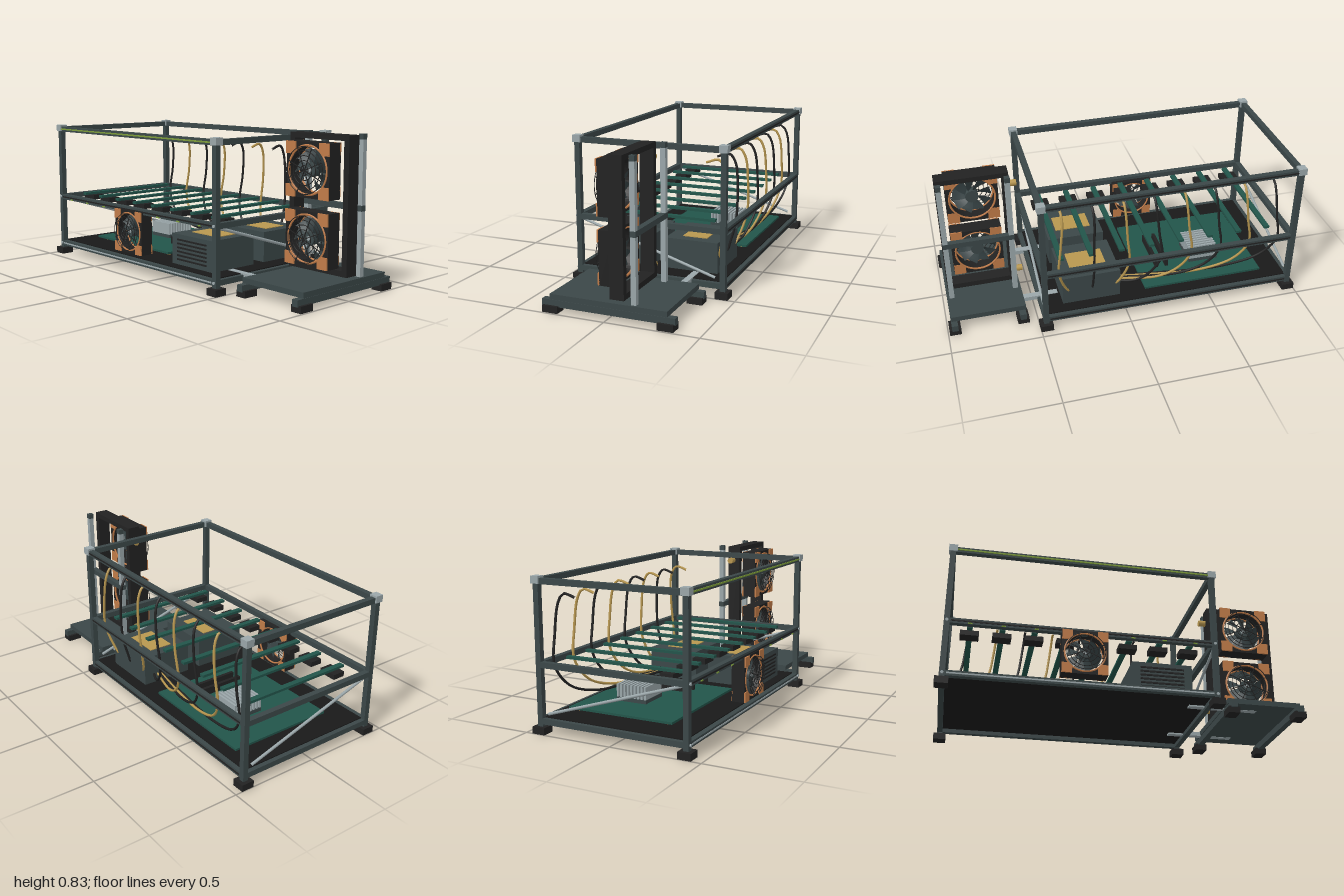
import * as THREE from 'three';

const mat = (name, color, double) => {
  const m = new THREE.MeshStandardMaterial({ color });
  m.name = name;
  if (double) m.side = THREE.DoubleSide;
  return m;
};

export function createModel() {
  const root = new THREE.Group();
  root.name = 'openFrameRig';
  const steel = mat('darkSteel', 0x3b4748);
  const black = mat('blackPlastic', 0x222222);
  const base = mat('basePlateBlack', 0x191919);
  const silver = mat('aluminium', 0x9aa6a9);
  const teal = mat('boardGreen', 0x22544a);
  const copper = mat('copper', 0xc07b48);
  const gold = mat('brass', 0xb8974f);
  const lime = mat('limeStrip', 0x7d9c3a);
  const blade = mat('fanBlade', 0x354143, true);

  const add = (name, geo, m, x = 0, y = 0, z = 0, parent = root) => {
    const mesh = new THREE.Mesh(geo, m);
    mesh.name = name;
    mesh.position.set(x, y, z);
    parent.add(mesh);
    return mesh;
  };
  // Box given by its limits on each axis
  const box = (name, m, [x0, x1], [y0, y1], [z0, z1], parent = root) =>
    add(name, new THREE.BoxGeometry(x1 - x0, y1 - y0, z1 - z0), m,
      (x0 + x1) / 2, (y0 + y1) / 2, (z0 + z1) / 2, parent);
  const around = (c, w) => [c - w / 2, c + w / 2];

  // Main frame: posts, feet, corner blocks and three levels of rails
  const X = [-0.965, 0.467], Z = [-0.425, 0.41], T = 0.03;
  const levels = [0.065, 0.36, 0.785];
  for (const x of X) {
    for (const z of Z) {
      box('framePost', steel, around(x, T), [0.03, 0.79], around(z, T));
      box('frameFoot', black, around(x, 0.07), [0, 0.037], around(z, 0.072));
      box('cornerBlock', silver, around(x, 0.046), [0.772, 0.81], around(z, 0.046));
    }
    for (const y of levels) {
      box('sideRail', steel, around(x, T), around(y, T), Z);
      const bolt = add('railBolt', new THREE.CylinderGeometry(0.008, 0.008, 0.008, 12), silver, x, y, Z[1] + 0.018);
      bolt.rotation.x = Math.PI / 2;
    }
  }
  for (const z of Z) {
    const out = z + Math.sign(z) * (T / 2 + 0.001);
    levels.forEach((y, i) => {
      box('longRail', steel, X, around(y, T), around(z, T));
      const front = z > 0;
      const m = front && i === 2 ? lime : front && i === 0 ? silver : black;
      box('railStrip', m, [-0.945, 0.447], around(y, 0.008), around(out, front && i === 2 ? 0.008 : 0.004));
    });
  }

  // Diagonal side braces
  for (const x of X) {
    const path = new THREE.LineCurve3(new THREE.Vector3(x, 0.353, 0.41), new THREE.Vector3(x, 0.105, -0.38));
    add('sideBrace', new THREE.TubeGeometry(path, 1, 0.008, 8), silver);
  }

  // Floor plate and circuit board
  box('floorPlate', base, [-0.955, 0.457], [0.073, 0.085], [-0.415, 0.395]);
  box('circuitBoard', teal, [-0.82, -0.12], [0.097, 0.109], [-0.36, 0.25]);
  for (const x of [-0.78, -0.16]) for (const z of [-0.32, 0.21])
    add('boardStandoff', new THREE.CylinderGeometry(0.01, 0.01, 0.014, 8), gold, x, 0.091, z);
  for (const x of [-0.3, -0.24]) box('memoryStick', black, around(x, 0.018), [0.108, 0.152], [-0.2, 0.075]);
  box('heatSinkBase', steel, [-0.612, -0.438], [0.108, 0.13], [-0.2, -0.02]);
  for (let i = 0; i < 9; i++)
    box('heatSinkFin', silver, [-0.61, -0.44], [0.13, 0.2], around(-0.194 + i * 0.021, 0.011));

  // Two power supplies with top labels and front slats
  for (const [z0, z1, g0, g1] of [[0.03, 0.337, 0.11, 0.245], [-0.352, -0.05, -0.27, -0.13]]) {
    box('powerSupply', steel, [0.025, 0.355], [0.085, 0.255], [z0, z1]);
    box('powerLabel', gold, [0.087, 0.295], [0.254, 0.259], [g0, g1]);
  }
  for (let i = 0; i < 6; i++)
    box('ventSlat', black, [0.07, 0.31], around(0.115 + i * 0.022, 0.009), [0.335, 0.342]);

  // Green cross bars, their clips, and the cables behind them
  const end = new THREE.Vector3(0.19, 0.13, -0.21);
  for (let i = 0; i < 8; i++) {
    const x = -0.845 + i * 0.1714;
    box('crossBar', teal, around(x, 0.03), [0.374, 0.388], [-0.34, 0.33]);
    box('barClip', black, around(x, 0.1), [0.346, 0.374], [0.225, 0.297]);
    box('railTab', lime, around(x, 0.022), [0.346, 0.352], [0.42, 0.43]);
    const b = x + THREE.MathUtils.clamp((x - 0.18) * 0.15, -0.04, 0.025);
    const far = Math.min(1, Math.abs(x - end.x));
    const mix = t => x + (end.x - x) * t;
    const pts = [
      [x, 0.69, -0.285], [x, 0.708, -0.355], [x - 0.003, 0.66, -0.388],
      [(x + b) / 2, 0.5, -0.402], [b, 0.34, -0.395],
      [mix(0.04), 0.22, -0.365], [mix(0.25), 0.165 - far * 0.02, -0.345 + far * 0.02],
      [mix(0.6), 0.135, -0.28], end.toArray(),
    ].map(p => new THREE.Vector3(...p));
    add('cable', new THREE.TubeGeometry(new THREE.CatmullRomCurve3(pts), 48, 0.007, 6), i % 2 ? gold : black);
  }

  // Square fan, 0.285 wide and 0.085 deep, back face at z = 0
  function fan(name, x, y, z, s) {
    const g = new THREE.Group();
    g.name = name;
    g.position.set(x, y, z);
    g.scale.setScalar(s);
    root.add(g);
    const h = 0.1425;
    const shape = new THREE.Shape([[-h, -h], [h, -h], [h, h], [-h, h]].map(p => new THREE.Vector2(...p)));
    shape.holes.push(new THREE.Path().absarc(0, 0, 0.128, 0, Math.PI * 2, true));
    add('fanHousing', new THREE.ExtrudeGeometry(shape, { depth: 0.085, bevelEnabled: false, curveSegments: 24 }), black, 0, 0, 0, g);
    for (const zz of [0.003, 0.084])
      add('fanRing', new THREE.TorusGeometry(0.126, 0.006, 6, 40), copper, 0, 0, zz, g);
    // Corner pads, cut by the round opening
    const pad = new THREE.Shape();
    pad.moveTo(h, h);
    pad.lineTo(0.078, h);
    pad.lineTo(0.078, 0.102);
    pad.lineTo(0.102, 0.078);
    pad.lineTo(h, 0.078);
    const padGeo = new THREE.ExtrudeGeometry(pad, { depth: 0.009, bevelEnabled: false });
    for (let i = 0; i < 4; i++) {
      for (const zz of [-0.002, 0.084])
        add('cornerPad', padGeo, copper, 0, 0, zz, g).rotation.z = i * Math.PI / 2;
    }
    // Twisted blades
    const bladeGeo = new THREE.PlaneGeometry(0.08, 0.068, 4, 1);
    const p = bladeGeo.attributes.position;
    for (let i = 0; i < p.count; i++) {
      const r = 0.07 + p.getX(i), a = p.getY(i) / 0.068 * 0.64 + (r - 0.03) * 3;
      p.setXYZ(i, r * Math.cos(a), r * Math.sin(a), p.getY(i) * 0.5);
    }
    bladeGeo.computeVertexNormals();
    for (let i = 0; i < 9; i++)
      add('fanBlade', bladeGeo, blade, 0, 0, 0.045, g).rotation.z = i * Math.PI * 2 / 9;
    add('fanHub', new THREE.CylinderGeometry(0.036, 0.036, 0.05, 24), steel, 0, 0, 0.045, g).rotation.x = Math.PI / 2;
    add('hubCap', new THREE.CylinderGeometry(0.012, 0.012, 0.006, 12), silver, 0, 0, 0.072, g).rotation.x = Math.PI / 2;
    // Wire guard
    for (const r of [0.025, 0.05, 0.075, 0.1, 0.121])
      add('guardRing', new THREE.TorusGeometry(r, 0.0022, 5, 36), black, 0, 0, 0.11, g);
    for (let i = 0; i < 4; i++)
      add('guardSpoke', new THREE.BoxGeometry(0.242, 0.004, 0.004), black, 0, 0, 0.11, g).rotation.z = (i + 0.5) * Math.PI / 4;
  }
  fan('frontFan', -0.247, 0.236, 0.363, 0.86);
  fan('upperTowerFan', 0.77, 0.645, -0.02, 1);
  fan('lowerTowerFan', 0.77, 0.293, -0.02, 1);

  // Tower frame with back posts, cross bar and brass fittings
  for (const x of [0.59, 0.95]) {
    box('towerSide', black, around(x, 0.032), [0.11, 0.825], [-0.095, -0.018]);
    box('towerPost', silver, around(x, 0.028), [0.09, 0.8], around(-0.145, 0.028));
    box('towerPostCap', steel, around(x, 0.029), [0.8, 0.828], around(-0.145, 0.029));
  }
  for (const y of [[0.797, 0.825], [0.11, 0.14]])
    box('towerBeam', black, [0.575, 0.965], y, [-0.095, -0.018]);
  box('towerCrossBar', steel, [0.575, 0.965], [0.435, 0.465], around(-0.145, 0.032));
  for (const y of [0.74, 0.165])
    add('hoseFitting', new THREE.CylinderGeometry(0.018, 0.018, 0.045, 16), gold, 0.555, y, -0.065).rotation.z = Math.PI / 2;

  // Tower base with skids and feet, tied to the main frame
  box('towerBase', steel, [0.56, 0.975], [0.066, 0.095], [-0.325, 0.312]);
  for (const x of [0.582, 0.96]) {
    box('towerSkid', steel, around(x, 0.035), [0.03, 0.066], [-0.367, 0.355]);
    for (const z of [-0.32, 0.305])
      box('towerFoot', black, around(x, 0.064), [0, 0.036], around(z, 0.085));
  }
  for (const z of [-0.235, 0.212])
    box('tieStrip', silver, [0.365, 0.75], [0.064, 0.088], around(z, 0.035));

  return root;
}
